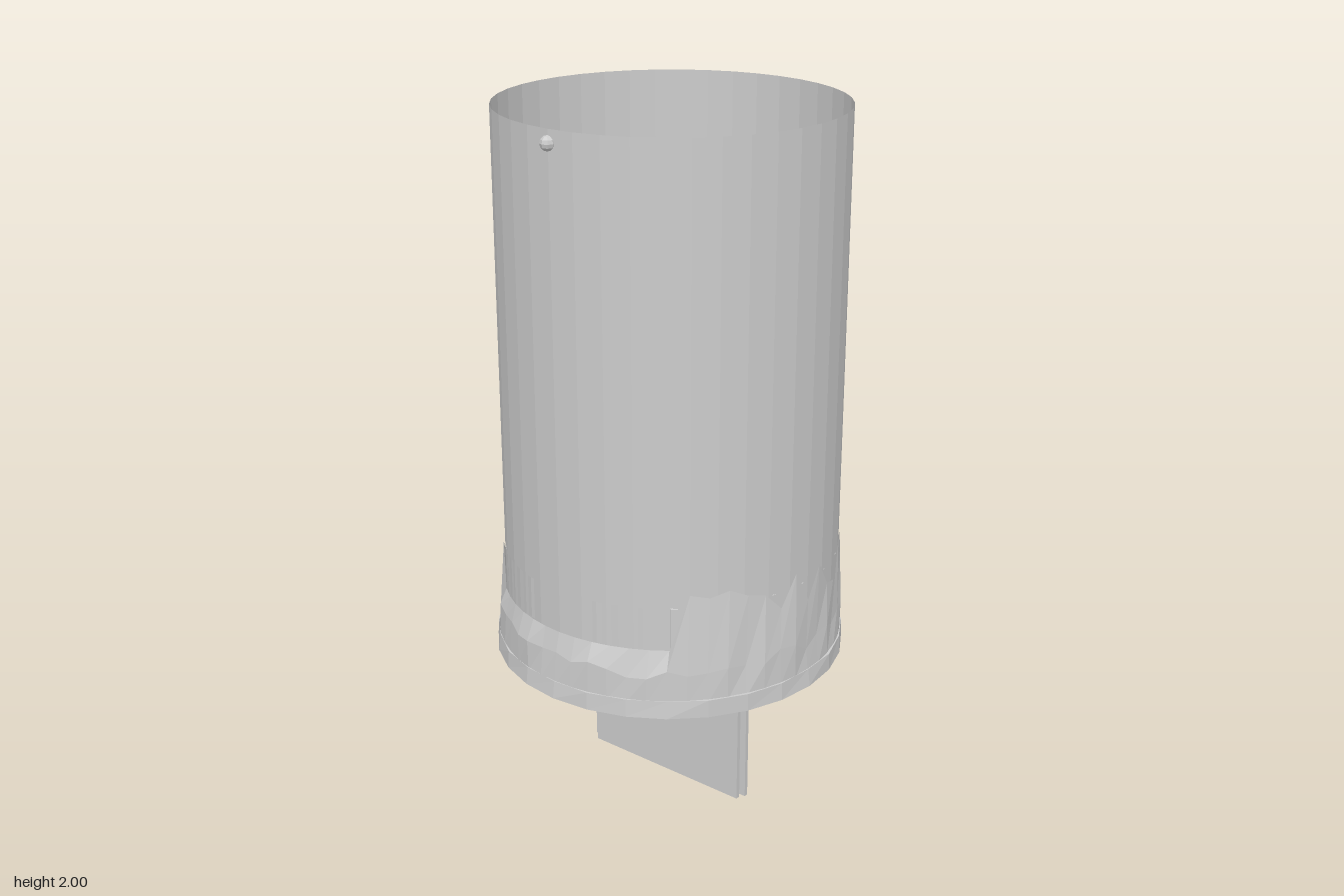
import * as THREE from 'three';

const R = 0.475, Z0 = -0.01, LEDGE = 0.64;
const noise = (a, b = 0) => {
  const s = Math.sin(a * 127.1 + b * 311.7) * 43758.5453;
  return s - Math.floor(s);
};
const material = () => new THREE.MeshStandardMaterial({
  color: 0xcccccc, flatShading: true, side: THREE.DoubleSide,
});

function add(group, name, geometry) {
  const mesh = new THREE.Mesh(geometry, material());
  mesh.name = name;
  group.add(mesh);
  return mesh;
}

// Surface through rows of equally many points
function loft(rows) {
  const n = rows[0].length, index = [];
  for (let r = 0; r < rows.length - 1; r++) {
    for (let c = 0; c < n - 1; c++) {
      const a = r * n + c, b = a + n;
      index.push(a, b, a + 1, a + 1, b, b + 1);
    }
  }
  const g = new THREE.BufferGeometry();
  g.setAttribute('position', new THREE.Float32BufferAttribute(rows.flat(2), 3));
  g.setIndex(index);
  g.computeVertexNormals();
  return g;
}

// Jagged earth collar, lower across the front opening
function collarGeometry() {
  const n = 56, rows = [[], [], []];
  for (let i = 0; i <= n; i++) {
    const k = i % n, t = (i / n) * Math.PI * 2;
    const front = Math.abs(Math.sin(t)) < 0.64 && Math.cos(t) > 0;
    const top = front ? LEDGE : 0.69 + 0.12 * noise(k, 1);
    const ring = (r, y) => [Math.sin(t) * r, y, Math.cos(t) * r + Z0 * (y > 0.6)];
    rows[0].push(ring(R + 0.004, top));
    rows[1].push(ring(0.482 + 0.012 * noise(k, 2), 0.56 + 0.04 * noise(k, 3)));
    rows[2].push(ring(0.492, 0.49));
  }
  return loft(rows);
}

// Rough mound with a flat recessed ledge cut into its front
function moundGeometry() {
  const zs = [], us = [];
  for (let i = 0; i <= 9; i++) zs.push(-R * Math.cos((i / 9) * 2.08));
  zs.push(0.24, 0.245, 0.29, 0.33, 0.37, 0.41, 0.44, 0.46, R);
  for (let i = -9; i <= 9; i++) us.push(i);
  const rows = zs.map((z, r) => us.map((u) => {
    const w = Math.sqrt(Math.max(0, R * R - z * z));
    const inner = Math.min(0.3, w * (z > 0.24 ? 1 : 0.63));
    const a = Math.abs(u), s = Math.sign(u);
    const x = s * (a <= 5 ? (inner * a) / 5
      : Math.min(w, inner + 0.006) + (Math.max(0, w - inner - 0.006) * (a - 6)) / 3);
    if (z > 0.242 && a <= 5) return [x, LEDGE, z + Z0];
    const q = Math.min(1, (x * x + z * z) / (R * R));
    const lump = q < 0.97 ? (noise(u, r) - 0.5) * 0.05 : 0;
    return [x, 0.76 + 0.24 * (1 - q) + lump, z + Z0];
  }));
  return loft(rows);
}

export function createModel() {
  const model = new THREE.Group();
  model.name = 'hangingLanternJar';

  // Open tube
  const tube = add(model, 'glassTube',
    new THREE.CylinderGeometry(R, R, 2 - 0.5, 40, 1, true));
  tube.position.set(0, 1.25, Z0);

  // Base disc with a slightly uneven edge
  const base = new THREE.CylinderGeometry(0.492, 0.5, 0.05, 28);
  const p = base.attributes.position;
  for (let i = 0; i < p.count; i++) {
    const r = Math.hypot(p.getX(i), p.getZ(i));
    if (r < 0.1 || p.getY(i) < 0) continue;
    const t = Math.round(Math.atan2(p.getX(i), p.getZ(i)) * 28 / (2 * Math.PI) + 28) % 28;
    const k = 1 + 0.015 * noise(t, 7);
    p.setX(i, p.getX(i) * k);
    p.setZ(i, p.getZ(i) * k);
  }
  add(model, 'baseDisc', base).position.y = 0.475;

  add(model, 'earthCollar', collarGeometry());
  add(model, 'mound', moundGeometry());

  // Rocks lying on the mound
  [[-0.29, 0.89, 0.0, 0.13, 0.04, 0.05], [0.23, 0.93, -0.08, 0.07, 0.03, 0.035],
    [0.21, 0.88, -0.27, 0.04, 0.03, 0.03]].forEach(([x, y, z, a, b, c], i) => {
    const rock = add(model, 'rock' + (i + 1), new THREE.IcosahedronGeometry(1, 0));
    rock.position.set(x, y, z);
    rock.scale.set(a, b, c);
  });

  // Hanging plate: arched backing and a slightly smaller front panel
  const plate = (name, x0, x1, y0, shoulder, top, z, depth) => {
    const s = new THREE.Shape();
    const m = (x0 + x1) / 2;
    s.moveTo(x0, y0);
    s.lineTo(x1, y0);
    s.lineTo(x1, shoulder);
    s.quadraticCurveTo(m + 0.14, top, m, top);
    s.quadraticCurveTo(m - 0.14, top, x0, shoulder);
    const g = new THREE.ExtrudeGeometry(s, { depth, bevelEnabled: false, curveSegments: 6 });
    add(model, name, g).position.z = z;
  };
  plate('plateBack', -0.29, 0.285, 0.01, 0.34, 0.46, -0.01, 0.012);
  plate('platePanel', -0.275, 0.265, 0, 0.33, 0.45, 0.002, 0.013);

  // Ring joining plate and base
  const ring = add(model, 'plateRing', new THREE.TorusGeometry(0.09, 0.008, 6, 16, Math.PI));
  ring.position.y = 0.4;
  ring.scale.y = 0.65;

  // Small knob at the front of the rim
  const knob = add(model, 'rimKnob', new THREE.SphereGeometry(0.02, 8, 6));
  knob.position.set(0, 1.965, 0.467);

  return model;
}
